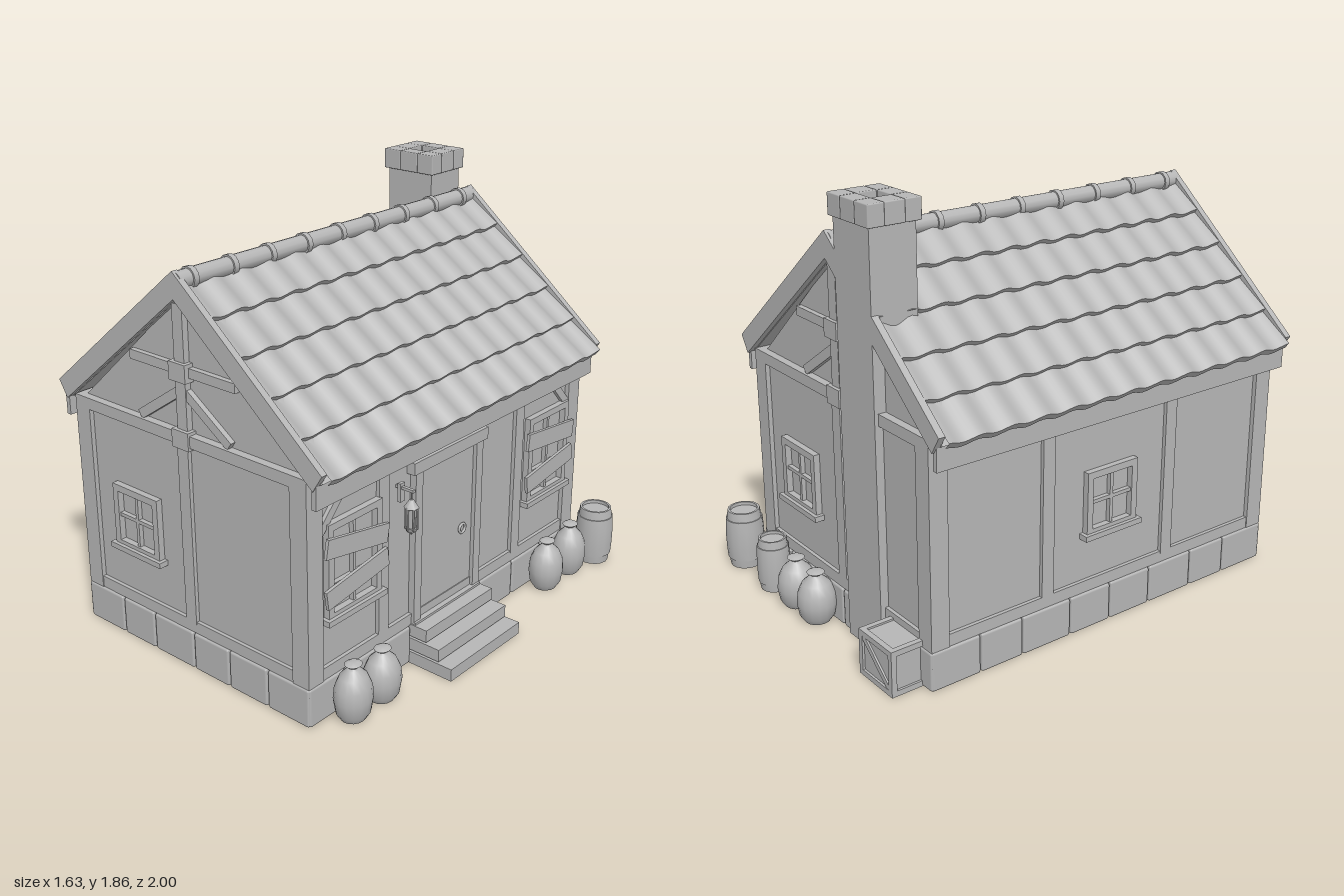
import * as THREE from 'three';
import { toCreasedNormals } from 'three/addons/utils/BufferGeometryUtils.js';
import { RoundedBoxGeometry } from 'three/addons/geometries/RoundedBoxGeometry.js';

const grey = new THREE.MeshStandardMaterial({ color: 0xb6b6b6, side: THREE.DoubleSide });
grey.name = 'plainGrey';

const RIDGE_X = -0.067, SLOPE = 0.826;

function add(parent, name, geometry, x = 0, y = 0, z = 0) {
  const m = new THREE.Mesh(geometry, grey);
  m.name = name;
  m.position.set(x, y, z);
  parent.add(m);
  return m;
}
// box given by its limits on each axis
function span(g, name, x0, x1, y0, y1, z0, z1, round = 0) {
  const s = [x1 - x0, y1 - y0, z1 - z0];
  const geo = round ? new RoundedBoxGeometry(...s, 1, round) : new THREE.BoxGeometry(...s);
  return add(g, name, geo, (x0 + x1) / 2, (y0 + y1) / 2, (z0 + z1) / 2);
}
// straight timber between two points on a wall
function brace(g, name, ax, ay, bx, by, width, z0, z1) {
  const m = add(g, name, new THREE.BoxGeometry(Math.hypot(bx - ax, by - ay), width, z1 - z0),
    (ax + bx) / 2, (ay + by) / 2, (z0 + z1) / 2);
  m.rotation.z = Math.atan2(by - ay, bx - ax);
}
function extrude(g, name, points, z0, z1) {
  const shape = new THREE.Shape(points.map(p => new THREE.Vector2(...p)));
  return add(g, name, new THREE.ExtrudeGeometry(shape, { depth: z1 - z0, bevelEnabled: false }), 0, 0, z0);
}
// wall frame: local x runs along the wall, local z points outward, z = 0 at the post faces
function wall(house, name, x, z, turn) {
  const g = new THREE.Group();
  g.name = name;
  g.position.set(x, 0, z);
  g.rotation.y = turn;
  house.add(g);
  return g;
}
function frame(g, u0, u1, posts) {
  span(g, 'wallPanel', u0 + 0.02, u1 - 0.02, 0.03, 1.03, -0.05, -0.02);
  span(g, 'cornerPost', u0, u0 + 0.085, 0.17, 1.0, -0.085, 0);
  span(g, 'cornerPost', u1 - 0.085, u1, 0.17, 1.0, -0.085, 0);
  span(g, 'sillBeam', u0 + 0.08, u1 - 0.08, 0.17, 0.222, -0.04, -0.004);
  span(g, 'topBeam', u0, u1, 1.0, 1.05, -0.06, 0);
  for (const u of posts) span(g, 'wallPost', u - 0.03, u + 0.03, 0.2, 1.01, -0.04, -0.003);
}
function stones(g, u0, u1, count) {
  const w = (u1 - u0) / count;
  for (let i = 0; i < count; i++) {
    const a = i ? 0.012 * Math.sin(i * 2.4) : 0, b = i < count - 1 ? 0.012 * Math.sin((i + 1) * 2.4) : 0;
    span(g, 'foundationStone', u0 + i * w + a + 0.003, u0 + (i + 1) * w + b - 0.003, 0, 0.17, -0.06, 0.005, 0.01);
  }
}
function windowUnit(g, u, y0, y1, width, rows) {
  const w = width / 2, t = 0.03, h = y1 - y0;
  for (const s of [-1, 1]) span(g, 'windowFrame', u + s * (w - t / 2) - t / 2, u + s * (w - t / 2) + t / 2, y0, y1, -0.03, 0.008);
  span(g, 'windowFrame', u - w, u + w, y1 - t, y1, -0.03, 0.008);
  span(g, 'windowFrame', u - w, u + w, y0, y0 + t * 0.7, -0.03, 0.008);
  span(g, 'windowBar', u - 0.008, u + 0.008, y0, y1, -0.03, 0);
  for (let i = 1; i < rows; i++) span(g, 'windowBar', u - w, u + w, y0 + h * i / rows - 0.008, y0 + h * i / rows + 0.008, -0.03, 0);
  span(g, 'windowSill', u - w - 0.017, u + w + 0.017, y0 - 0.02, y0 + 0.004, -0.02, 0.024);
}
function gable(g, c) {
  const z = -0.035;
  extrude(g, 'gableWall', [[c - 0.64, 1.02], [c + 0.64, 1.02], [c, 1.6]], -0.06, z);
  span(g, 'kingPost', c - 0.028, c + 0.028, 1.04, 1.57, z, -0.008);
  span(g, 'collarBeam', c - 0.292, c + 0.292, 1.285, 1.325, z, -0.012);
  for (const s of [-1, 1]) brace(g, 'gableBrace', c + s * 0.25, 1.06, c + s * 0.02, 1.215, 0.04, z, -0.012);
  for (const y of [1.025, 1.303]) span(g, 'jointBlock', c - 0.046, c + 0.046, y - 0.038, y + 0.038, z, 0.008);
}
// inverted V running along z
function vee(g, name, top, thick, half, z0, z1) {
  const y = top - SLOPE * half, inner = half - 0.045, yi = top - thick - SLOPE * inner;
  extrude(g, name, [[RIDGE_X, top], [RIDGE_X - half, y], [RIDGE_X - inner, yi], [RIDGE_X, top - thick],
    [RIDGE_X + inner, yi], [RIDGE_X + half, y]], z0, z1);
}
// stepped rows of wavy tiles on one slope
function tiles(g, side) {
  const profile = [], rows = 5, step = 0.145, nz = 96;
  for (let i = 0; i < rows; i++) profile.push([0.01 + i * step, 0], [0.01 + (i + 1) * step, 0.022]);
  profile.push([0.735, -0.012]);
  const geo = new THREE.PlaneGeometry(1, 1, nz, profile.length - 1);
  const p = geo.attributes.position, n = Math.hypot(1, SLOPE);
  for (let j = 0; j < profile.length; j++) for (let i = 0; i <= nz; i++) {
    const [d, lift] = profile[j], t = i / nz;
    const off = lift + 0.011 * Math.cos(t * Math.PI * 24);
    p.setXYZ(j * (nz + 1) + i, RIDGE_X + side * (d + off * SLOPE / n),
      1.655 - SLOPE * d + off / n, side * (0.953 - 1.795 * t));
  }
  // keep both slopes over the same length of the house
  if (side < 0) for (let i = 0; i < p.count; i++) p.setZ(i, p.getZ(i) + 0.111);
  add(g, 'roofTiles', toCreasedNormals(geo, 0.6));
}
function lathe(g, name, pts, sides, x, z, sx = 1) {
  const geo = new THREE.LatheGeometry(pts.map(q => new THREE.Vector2(...q)), sides);
  add(g, name, toCreasedNormals(geo, 0.7), x, 0, z).scale.x = sx;
}

export function createModel() {
  const house = new THREE.Group();
  house.name = 'cottage';
  const H = Math.PI / 2;

  // four walls
  const front = wall(house, 'frontWall', 0, 0.975, 0);
  frame(front, -0.71, 0.585, [RIDGE_X]);
  stones(front, -0.715, 0.588, 6);
  windowUnit(front, -0.365, 0.435, 0.71, 0.27, 2);
  gable(front, RIDGE_X);

  const back = wall(house, 'backWall', 0, -0.855, 2 * H);
  frame(back, -0.585, 0.71, [-RIDGE_X]);
  stones(back, -0.588, 0.715, 6);
  windowUnit(back, -0.245, 0.435, 0.71, 0.27, 2);
  gable(back, -RIDGE_X);

  const left = wall(house, 'leftWall', -0.71, 0, -H);
  frame(left, -0.855, 0.975, [-0.28, 0.38]);
  stones(left, -0.858, 0.978, 8);
  windowUnit(left, 0.05, 0.435, 0.71, 0.27, 2);

  const right = wall(house, 'rightWall', 0.585, 0, H);
  frame(right, -0.975, 0.855, [-0.53, 0.39]);
  stones(right, -0.978, -0.36, 3);
  stones(right, 0.115, 0.858, 3);
  for (const [u, tilt] of [[-0.71, 0.18], [0.61, 0.11]]) {
    windowUnit(right, u, 0.43, 0.83, 0.31, 3);
    for (const [y, a] of [[0.71, -tilt], [0.55, 0.14]]) {
      const dx = 0.18 * Math.cos(a), dy = 0.18 * Math.sin(a);
      brace(right, 'windowBoard', u - dx, y - dy, u + dx, y + dy, 0.08, 0.008, 0.022);
    }
  }
  brace(right, 'cornerBrace', -0.9, 0.8, -0.73, 0.98, 0.035, -0.03, -0.003);
  brace(right, 'cornerBrace', 0.78, 0.8, 0.61, 0.98, 0.035, -0.03, -0.003);

  // door with frame and ring handle
  span(right, 'door', -0.31, 0.06, 0.17, 0.87, -0.03, -0.008);
  span(right, 'doorJamb', -0.35, -0.305, 0.17, 0.87, -0.03, 0.01);
  span(right, 'doorJamb', 0.055, 0.1, 0.17, 0.87, -0.03, 0.01);
  span(right, 'doorLintel', -0.372, 0.118, 0.86, 0.912, -0.03, 0.02);
  span(right, 'threshold', -0.35, 0.1, 0.15, 0.185, -0.06, 0.02);
  add(right, 'doorHandle', new THREE.TorusGeometry(0.02, 0.006, 8, 20), -0.018, 0.487, 0);

  // steps
  [[0.805, 0.055, 0], [0.735, 0.115, 0.006], [0.665, 0.175, 0.012]].forEach(([x, y, inset]) =>
    span(house, 'doorStep', 0.56, x, y - 0.055, y, -0.115 + inset, 0.368 - inset));

  // hanging lantern
  const lantern = new THREE.Group();
  lantern.name = 'lantern';
  lantern.position.set(0.64, 0, 0.435);
  house.add(lantern);
  span(lantern, 'bracket', -0.08, 0.012, 0.825, 0.837, -0.007, 0.007);
  span(lantern, 'bracketPlate', -0.06, -0.045, 0.77, 0.85, -0.014, 0.014);
  add(lantern, 'hook', new THREE.CylinderGeometry(0.003, 0.003, 0.05, 6), 0, 0.81, 0);
  add(lantern, 'lanternCap', new THREE.CylinderGeometry(0.008, 0.032, 0.035, 6), 0, 0.777, 0);
  add(lantern, 'lanternGlass', new THREE.CylinderGeometry(0.02, 0.018, 0.1, 6), 0, 0.715, 0);
  add(lantern, 'lanternBase', new THREE.CylinderGeometry(0.027, 0.02, 0.018, 6), 0, 0.665, 0);
  add(lantern, 'lanternTip', new THREE.ConeGeometry(0.01, 0.02, 6), 0, 0.648, 0).rotation.x = Math.PI;
  for (let i = 0; i < 6; i++)
    add(lantern, 'lanternBar', new THREE.BoxGeometry(0.006, 0.1, 0.006), 0.024 * Math.sin(i * Math.PI / 3), 0.715, 0.024 * Math.cos(i * Math.PI / 3));

  // roof: deck, gable boards, eave boards, tiles and ridge
  vee(house, 'roofDeck', 1.645, 0.06, 0.72, -0.845, 0.96);
  vee(house, 'bargeBoard', 1.7, 0.11, 0.735, 0.953, 0.982);
  vee(house, 'bargeBoard', 1.7, 0.11, 0.735, -0.872, -0.842);
  for (const s of [-1, 1]) {
    tiles(house, s);
    const x = RIDGE_X + s * 0.692;
    span(house, 'eaveBoard', x - 0.011, x + 0.011, 0.945, 1.05, -0.86, 0.978);
  }
  const ridge = add(house, 'ridgeRoll', new THREE.CylinderGeometry(0.037, 0.037, 1.83, 12), RIDGE_X, 1.658, 0.055);
  ridge.rotation.x = H;
  for (let i = 0; i < 9; i++)
    add(house, 'ridgeCollar', new THREE.CylinderGeometry(0.044, 0.044, 0.025, 12), RIDGE_X, 1.658, -0.77 + i * 0.208).rotation.x = H;

  // chimney with a ring of cap stones
  span(house, 'chimneyStack', -0.385, -0.14, 0, 1.775, -0.872, -0.665);
  const xs = [-0.402, -0.31, -0.212, -0.123], zs = [-0.885, -0.81, -0.72, -0.648];
  for (let i = 0; i < 3; i++) for (let k = 0; k < 3; k++)
    if (i !== 1 || k !== 1) span(house, 'chimneyCapStone', xs[i], xs[i + 1], 1.77, 1.86, zs[k], zs[k + 1], 0.005);

  // sacks
  const sack = [[0, 0], [0.055, 0], [0.075, 0.03], [0.085, 0.09], [0.08, 0.14], [0.06, 0.185], [0.03, 0.213],
    [0.022, 0.222], [0.038, 0.235], [0.02, 0.245], [0, 0.243]];
  for (const [x, z, h] of [[0.66, 0.805, 1.02], [0.66, 0.63, 0.96], [0.66, -0.54, 0.98], [0.66, -0.73, 1.03], [0.205, -0.92, 0.95], [0.04, -0.92, 0.95]])
    lathe(house, 'sack', sack.map(([r, y]) => [r, y * h]), 16, x, z, x > 0.5 ? 0.9 : 1);

  // barrels
  const barrel = [[0, 0], [0.072, 0], [0.077, 0.04], [0.082, 0.04], [0.085, 0.09], [0.086, 0.135], [0.085, 0.18],
    [0.082, 0.23], [0.077, 0.23], [0.072, 0.27], [0.062, 0.27], [0.062, 0.255], [0, 0.255]];
  lathe(house, 'barrel', barrel, 16, 0.683, -0.914);
  lathe(house, 'barrel', barrel.map(([r, y]) => [r * 0.85, y * 0.9]), 16, 0.4, -0.925);

  // crate with edge slats and diagonal
  const crate = new THREE.Group();
  crate.name = 'crate';
  crate.position.set(-0.535, 0, -0.9);
  house.add(crate);
  span(crate, 'crateBody', -0.105, 0.105, 0.008, 0.192, -0.09, 0.09);
  for (const s of [-1, 1]) for (const t of [-1, 1]) {
    span(crate, 'crateSlat', s * 0.103 - 0.012, s * 0.103 + 0.012, 0, 0.2, t * 0.088 - 0.012, t * 0.088 + 0.012);
    const y = t > 0 ? 0.188 : 0.012;
    span(crate, 'crateSlat', -0.115, 0.115, y - 0.012, y + 0.012, s * 0.088 - 0.012, s * 0.088 + 0.012);
    span(crate, 'crateSlat', s * 0.103 - 0.012, s * 0.103 + 0.012, y - 0.012, y + 0.012, -0.1, 0.1);
  }
  brace(crate, 'crateDiagonal', -0.09, 0.025, 0.09, 0.175, 0.024, -0.098, -0.085);
  return house;
}
